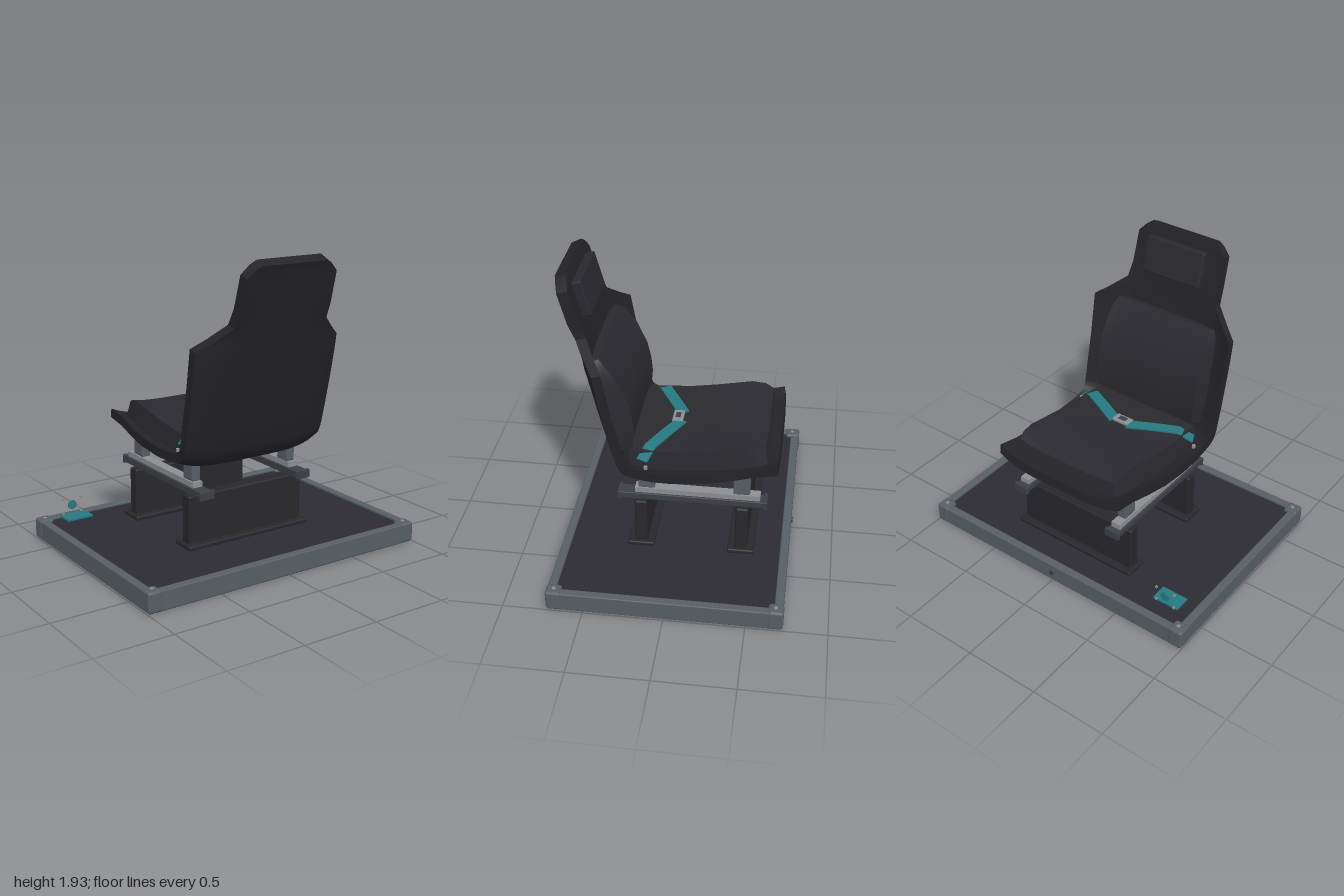
import * as THREE from 'three';
import { toCreasedNormals } from 'three/addons/utils/BufferGeometryUtils.js';
import { RoundedBoxGeometry } from 'three/addons/geometries/RoundedBoxGeometry.js';

const mat = (name, color) => Object.assign(new THREE.MeshStandardMaterial({ color }), { name });

// Band swept along a (z, y) path; each section is [z, y, halfWidth, edgeCurl, thickness].
// The edges curl towards the inner side, and inset narrows the inner face.
function band(sections, inset = 0, N = 16) {
  const pos = [], index = [], L = 2 * (N + 1);
  sections.forEach(([z, y, w, curl, thick], i) => {
    const p = sections[Math.max(i - 1, 0)], q = sections[Math.min(i + 1, sections.length - 1)];
    const dz = q[0] - p[0], dy = q[1] - p[1], len = Math.hypot(dz, dy);
    const nz = -dy / len, ny = dz / len;
    for (let k = 0; k < L; k++) {
      const inner = k > N, u = 2 * (inner ? L - 1 - k : k) / N - 1;
      const off = curl * Math.abs(u) ** 4 + (inner ? thick : 0);
      pos.push((w - (inner ? inset : 0)) * u, y + ny * off, z + nz * off);
    }
  });
  const quad = (a, b, c, d) => index.push(a, b, c, a, c, d);
  const last = (sections.length - 1) * L;
  for (let o = 0; o < last; o += L)
    for (let k = 0; k < L; k++) {
      const m = (k + 1) % L;
      quad(o + k, o + m, o + L + m, o + L + k);
    }
  for (let k = 0; k < N; k++) {
    const a = k, b = k + 1, c = L - 2 - k, d = L - 1 - k;
    quad(a, d, c, b);
    quad(last + a, last + b, last + c, last + d);
  }
  const g = new THREE.BufferGeometry();
  g.setAttribute('position', new THREE.Float32BufferAttribute(pos, 3));
  g.setIndex(index);
  return toCreasedNormals(g, 0.6);
}

export function createModel() {
  const root = new THREE.Group();
  root.name = 'seatOnPlatform';
  const frameGrey = mat('frame grey', 0x565e64);
  const railGrey = mat('rail light grey', 0x8b8f92);
  const darkGrey = mat('dark grey', 0x3b4045);
  const panelDark = mat('panel dark', 0x2c2b34);
  const pedestalDark = mat('pedestal dark', 0x28282c);
  const shellBlack = mat('shell black', 0x242428);
  const padBlack = mat('pad black', 0x29292f);
  const baseBlack = mat('underside black', 0x18181a);
  const teal = mat('teal', 0x257980);

  const add = (name, geo, material, x = 0, y = 0, z = 0, parent = root) => {
    const m = new THREE.Mesh(geo, material);
    m.name = name;
    m.position.set(x, y, z);
    parent.add(m);
    return m;
  };
  // Box given by its x, y and z ranges, with optional rounding
  const box = (name, material, [x0, x1], [y0, y1], [z0, z1], r = 0) => {
    const s = [x1 - x0, y1 - y0, z1 - z0];
    const g = r ? new RoundedBoxGeometry(...s, 2, r) : new THREE.BoxGeometry(...s);
    return add(name, g, material, (x0 + x1) / 2, (y0 + y1) / 2, (z0 + z1) / 2);
  };
  const disc = (name, material, r, h, x, y, z, alongZ = true) => {
    const m = add(name, new THREE.CylinderGeometry(r, r, h, 20), material, x, y, z);
    if (alongZ) m.rotation.x = Math.PI / 2;
    return m;
  };

  // Platform
  box('floorPanel', panelDark, [-0.95, 0.95], [0.01, 0.113], [-0.68, 0.68]);
  box('underside', baseBlack, [-0.985, 0.985], [0, 0.008], [-0.715, 0.715]);
  for (const s of [-1, 1]) {
    const span = (a, b) => (s > 0 ? [a, b] : [-b, -a]);
    box('sideRail', frameGrey, span(0.94, 0.995), [0.003, 0.128], [-0.7, 0.7], 0.008);
    box('endRail', frameGrey, [-0.97, 0.97], [0.003, 0.128], span(0.67, 0.725), 0.008);
    for (const t of [-1, 1]) {
      const cz = t > 0 ? [0.635, 0.73] : [-0.73, -0.635];
      box('cornerCap', frameGrey, span(0.905, 1), [0.002, 0.135], cz, 0.018);
      disc('cornerScrew', railGrey, 0.012, 0.006, s * 0.95, 0.135, t * 0.68, false);
    }
  }
  disc('edgeBolt', darkGrey, 0.018, 0.012, 0, 0.065, -0.729);

  // Pedestal walls with foot flanges
  for (const z of [0.22, -0.42]) {
    box('pedestalWall', pedestalDark, [-0.43, 0.43], [0.12, 0.45], [z - 0.04, z + 0.04], 0.012);
    box('footFlange', pedestalDark, [-0.455, 0.455], [0.113, 0.143], [z - 0.085, z + 0.085], 0.01);
  }

  // Slide rails and seat mounts
  for (const s of [-1, 1]) {
    const span = (a, b) => (s > 0 ? [a, b] : [-b, -a]);
    box('lowerRail', darkGrey, span(0.32, 0.41), [0.455, 0.5], [-0.56, 0.36], 0.006);
    for (const [a, b] of [[-0.575, -0.55], [0.35, 0.37]])
      box('railEndCap', darkGrey, span(0.312, 0.418), [0.45, 0.506], [a, b], 0.005);
    box('upperRail', railGrey, span(0.332, 0.398), [0.5, 0.535], [-0.53, 0.26]);
    for (const [a, b, top] of [[0.135, 0.24, 0.66], [-0.465, -0.36, 0.69]])
      box('seatMount', frameGrey, span(0.33, 0.392), [0.535, top], [a, b], 0.008);
  }

  // One-piece seat shell, from front edge to head
  add('seatShell', band([
    [-0.64, 0.7, 0.47, 0.06, 0.06], [-0.5, 0.675, 0.465, 0.055, 0.06],
    [-0.35, 0.648, 0.48, 0.05, 0.06], [-0.2, 0.626, 0.495, 0.05, 0.06],
    [0, 0.609, 0.5, 0.05, 0.06], [0.14, 0.606, 0.5, 0.055, 0.06],
    [0.25, 0.617, 0.5, 0.06, 0.06], [0.33, 0.648, 0.505, 0.06, 0.06],
    [0.38, 0.695, 0.51, 0.06, 0.06], [0.41, 0.76, 0.512, 0.06, 0.06],
    [0.448, 0.9, 0.515, 0.065, 0.06], [0.503, 1.1, 0.517, 0.075, 0.06],
    [0.55, 1.27, 0.52, 0.09, 0.06], [0.577, 1.37, 0.52, 0.1, 0.06],
    [0.595, 1.435, 0.44, 0.065, 0.06], [0.622, 1.53, 0.335, 0.02, 0.065],
    [0.65, 1.63, 0.325, 0, 0.07], [0.706, 1.83, 0.32, 0, 0.07],
    [0.72, 1.88, 0.27, 0, 0.07], [0.73, 1.9, 0.23, 0, 0.07],
  ]), shellBlack);

  // Cushions
  add('seatCushion', band([
    [-0.57, 0.745, 0.385, 0.02, 0.105], [-0.53, 0.738, 0.4, 0.02, 0.135],
    [-0.44, 0.718, 0.405, 0.02, 0.16], [-0.2, 0.68, 0.41, 0.01, 0.16],
    [0, 0.66, 0.41, 0, 0.16], [0.15, 0.66, 0.41, 0, 0.155],
    [0.3, 0.675, 0.4, 0, 0.13],
  ], 0.02), padBlack);
  add('backCushion', band([
    [0.375, 0.8, 0.4, 0.02, 0.09], [0.4, 0.9, 0.41, 0.02, 0.125],
    [0.425, 0.99, 0.41, 0.02, 0.142], [0.455, 1.1, 0.41, 0.02, 0.148],
    [0.495, 1.25, 0.405, 0.02, 0.125], [0.525, 1.36, 0.4, 0.01, 0.09],
    [0.538, 1.405, 0.38, 0, 0.072],
  ], 0.03), padBlack);
  const head = add('headrestPad', new RoundedBoxGeometry(0.43, 0.23, 0.075, 2, 0.01), padBlack, 0, 1.743, 0.59);
  head.rotation.x = 0.27;

  // Lap belt: each side is a chain of flat straps
  for (const s of [-1, 1]) {
    const pts = [[0.05, 0.832, 0.01], [0.2, 0.83, 0.09], [0.345, 0.824, 0.165], [0.43, 0.77, 0.205]]
      .map(([x, y, z]) => new THREE.Vector3(s * x, y, z));
    for (let i = 0; i < 3; i++) {
      const a = pts[i], b = pts[i + 1], mid = a.clone().add(b).multiplyScalar(0.5);
      const strap = add('beltStrap', new THREE.BoxGeometry(0.075, 0.01, a.distanceTo(b) + 0.005), teal, mid.x, mid.y, mid.z);
      strap.lookAt(b);
    }
    disc('beltAnchor', railGrey, 0.012, 0.02, s * 0.455, 0.735, 0.18, false);
  }
  box('buckle', railGrey, [-0.062, 0.062], [0.82, 0.84], [0, 0.07], 0.006);
  box('buckleButton', darkGrey, [-0.027, 0.027], [0.838, 0.845], [0.02, 0.052]);

  // Floor control with a round button
  box('controlPlate', teal, [-0.88, -0.7], [0.153, 0.165], [-0.595, -0.485]);
  disc('controlButton', teal, 0.03, 0.012, -0.79, 0.22, -0.597);
  for (const x of [-0.855, -0.725])
    for (const y of [0.165, 0.265])
      disc('controlPin', railGrey, 0.009, 0.01, x, y, -0.597);

  return root;
}
